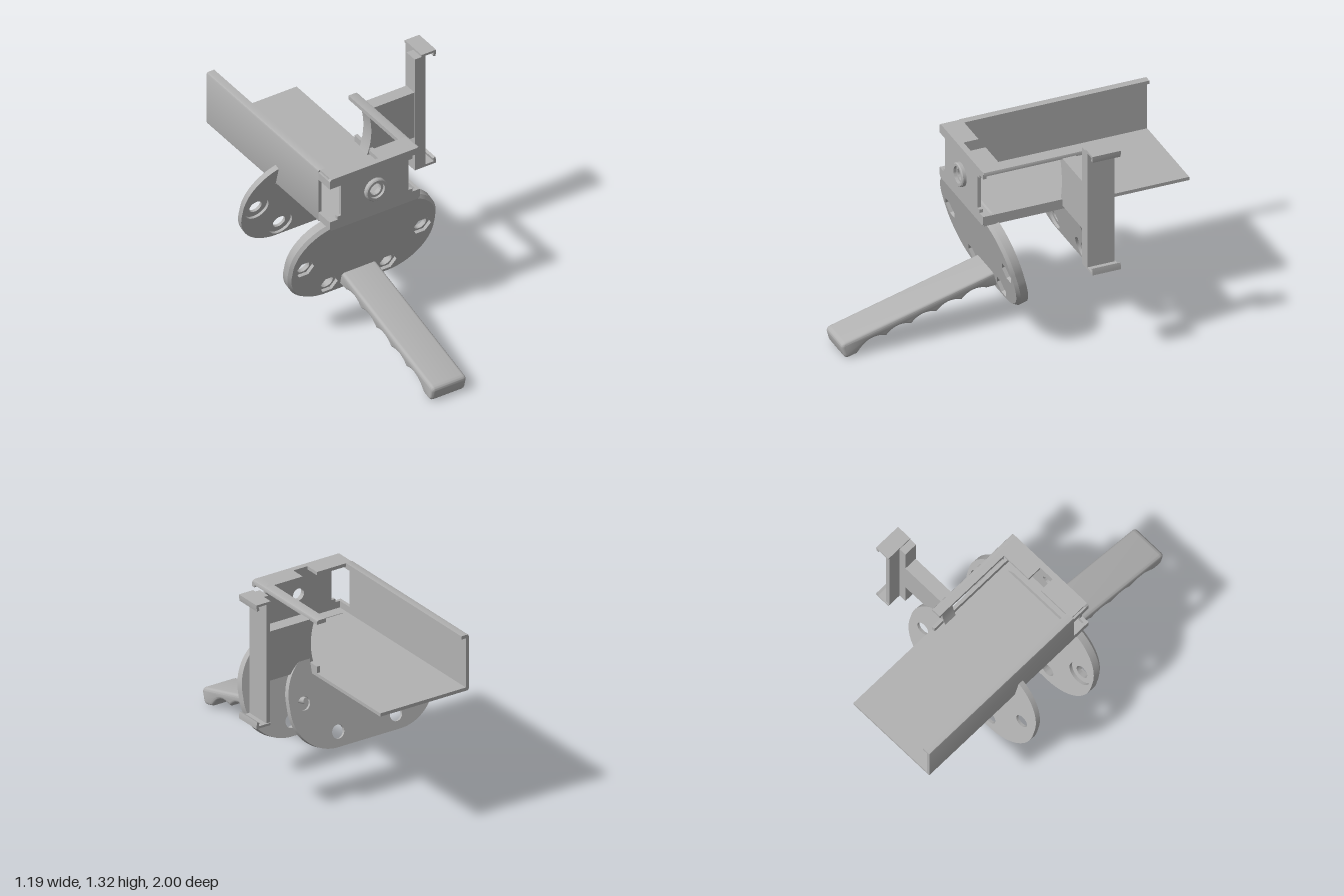
import * as THREE from 'three';
import { toCreasedNormals } from 'three/addons/utils/BufferGeometryUtils.js';

const TILT = Math.PI / 12;
const CX = -0.1225;            // middle of the two plates

export function createModel() {
  const model = new THREE.Group();
  const grey = new THREE.MeshStandardMaterial({ color: 0xb2b2b2 });
  grey.name = 'plain grey';

  const add = (parent, name, geo, x = 0, y = 0, z = 0) => {
    const m = new THREE.Mesh(geo, grey);
    m.name = name;
    m.position.set(x, y, z);
    parent.add(m);
    return m;
  };
  // box given by its limits
  const box = (name, x0, x1, y0, y1, z0, z1) => add(model, name,
    new THREE.BoxGeometry(x1 - x0, y1 - y0, z1 - z0), (x0 + x1) / 2, (y0 + y1) / 2, (z0 + z1) / 2);
  const poly = pts => new THREE.Shape(pts.map(p => new THREE.Vector2(p[0], p[1])));
  const extrude = (shape, depth, opts = {}) => toCreasedNormals(
    new THREE.ExtrudeGeometry(shape, { depth, bevelEnabled: false, curveSegments: 20, ...opts }), 0.5);
  // round or hexagonal hole
  const hole = (x, y, r, sides = 32) => {
    const pts = [];
    for (let i = 0; i < sides; i++) {
      const a = -i / sides * Math.PI * 2;
      pts.push(new THREE.Vector2(x + r * Math.cos(a), y + r * Math.sin(a)));
    }
    return new THREE.Path(pts);
  };

  // ---- tray: floor, tall wall with a lip, and front corner channels
  const B = 0.77, T = 1.11, L = -0.41, R = 0.18, t = 0.02, c = 0.012;
  const channel = poly([
    [R, B], [R, B + t], [L + t, B + t], [L + t, T - t], [L + 0.05, T - t], [L + 0.05, T],
    [L + c, T], [L + 0.003, T - 0.003], [L, T - c], [L, B + c], [L + 0.003, B + 0.003], [L + c, B],
  ].reverse());
  add(model, 'trayFloorAndWall', extrude(channel, 1.12), 0, 0, -1);
  box('frontFloor', L + c, R, B, B + t, 0.12, 0.23);
  box('leftLowerStrip', L, L + t, B + c, 0.83, 0.12, 0.23);
  box('leftUpperStrip', L, L + t, 1.05, T - c, 0.12, 0.23);
  box('rightLowerStrip', R - t, R, B, 0.83, -0.39, 0.23);
  const rail = poly([[0.12, 1.085], [R, 1.085], [R, T - c], [R - 0.003, T - 0.003], [R - c, T], [0.12, T]]);
  add(model, 'rightTopRail', extrude(rail, 0.62), 0, 0, -0.39);

  // front lip with a central notch
  box('frontLipLeft', L + c, -0.165, T - t, T, 0.11, 0.228);
  box('frontLipRight', -0.07, R - c, T - t, T, 0.11, 0.228);
  box('frontLipMiddle', -0.165, -0.07, T - t, T, 0.2, 0.228);

  // front wall with open corners and a round hole
  const wall = poly([
    [L + c, B], [R - c, B], [R, B + c], [R, 0.83], [0.13, 0.83], [0.13, 0.85], [0.105, 0.85],
    [0.105, 1.05], [0.13, 1.05], [0.13, 1.07], [R, 1.07], [R, T - c], [R - c, T],
    [L + c, T], [L, T - c], [L, 1.05], [-0.335, 1.05], [-0.335, 0.85], [-0.36, 0.85],
    [-0.36, 0.83], [L, 0.83], [L, B + c],
  ]);
  wall.holes.push(hole(-0.115, 0.945, 0.037));
  add(model, 'frontWall', extrude(wall, t), 0, 0, 0.215);
  const ringProfile = [[0.036, -0.02], [0.036, 0.008], [0.05, 0.008], [0.05, 0.025], [0.064, 0.025],
    [0.07, 0.019], [0.07, -0.01]].map(p => new THREE.Vector2(...p)).reverse();
  const collarGeo = new THREE.LatheGeometry(ringProfile.reverse(), 40);
  const collar = add(model, 'frontCollar', toCreasedNormals(collarGeo, 0.5), -0.115, 0.945, 0.235);
  collar.rotation.x = Math.PI / 2;
  collar.material = grey.clone();
  collar.material.side = THREE.DoubleSide;

  // ---- side arm with a concave inner end
  const arm = new THREE.Shape();
  arm.moveTo(0.145, 0.79);
  arm.lineTo(0.46, 0.79);
  arm.lineTo(0.46, 1.09);
  arm.lineTo(0.145, 1.09);
  arm.quadraticCurveTo(0.2, 0.94, 0.145, 0.79);
  add(model, 'sideArm', extrude(arm, 0.08), 0, 0, -0.32);

  // clip holder on the end of the arm
  box('holderRib', 0.455, 0.505, 0.57, 1.312, -0.32, -0.237);
  box('holderPlate', 0.5, 0.525, 0.57, 1.325, -0.4, -0.237);
  const hook = poly([[0.5, -0.006], [0.595, -0.006], [0.595, 0.006], [0.59, 0.034], [0.575, 0.028],
    [0.58, 0.008], [0.5, 0.008]]);
  add(model, 'lowerHook', extrude(hook, 0.17), 0, 0.576, -0.407);
  const upper = add(model, 'upperHook', extrude(hook, 0.17), 0, 1.319, -0.237);
  upper.rotation.x = Math.PI;

  // ---- tilted mounting plates
  const HW = 0.4775, HH = 0.295, CR = 0.27;
  const HOLES = [[-0.3825, 0, true], [0.3825, 0, true], [-0.1925, -0.21, false], [0.1925, -0.21, false]];
  const plateShape = (holeOf, notched) => {
    const s = new THREE.Shape(), x = HW - CR, y = HH - CR, P = Math.PI;
    s.absarc(-x, -y, CR, P, 1.5 * P);
    s.absarc(x, -y, CR, 1.5 * P, 2 * P);
    if (notched) {           // cut away where the tray passes through
      s.absarc(x, y, CR, 0, 1.211);
      s.lineTo(0.3025, 0.16);
      s.lineTo(-0.2875, 0.16);
      s.absarc(-x, y, CR, 1.872, P);
    } else {
      s.absarc(x, y, CR, 0, P / 2);
      s.absarc(-x, y, CR, P / 2, P);
    }
    s.closePath();
    HOLES.forEach(h => s.holes.push(holeOf(...h)));
    return s;
  };
  const plateGroup = (name, y, z) => {
    const g = new THREE.Group();
    g.name = name;
    g.position.set(CX, y, z);
    g.rotation.x = TILT;
    model.add(g);
    return g;
  };

  // front plate: back recesses, bolt holes, hexagonal pockets
  const front = plateGroup('frontPlate', 0.5, 0.1);
  add(front, 'plateBack', extrude(plateShape((x, y, up) => hole(x, y, up ? 0.075 : 0.04)), 0.02), 0, 0, -0.0325);
  add(front, 'plateCore', extrude(plateShape((x, y) => hole(x, y, 0.04)), 0.025), 0, 0, -0.0125);
  let face = new THREE.ExtrudeGeometry(plateShape((x, y) => hole(x, y, 0.06, 6)),
    { depth: 0.02, bevelEnabled: false, curveSegments: 20 });
  const p = face.attributes.position;
  for (let i = 0; i < p.count; i++) {     // draw in the front rim, leaving the pockets
    const x = p.getX(i), y = p.getY(i);
    if (p.getZ(i) > 0.01 && !HOLES.some(h => Math.hypot(x - h[0], y - h[1]) < 0.065)) {
      p.setXY(i, x * 0.97, y * 0.95);
    }
  }
  face.computeVertexNormals();
  add(front, 'plateFace', toCreasedNormals(face, 0.5), 0, 0, 0.0125);

  // locating pins
  for (const s of [-1, 1]) {
    add(front, 'locatingPin', new THREE.CylinderGeometry(0.02, 0.02, 0.08, 20), 0.12 * s, -0.106, -0.06)
      .rotation.x = Math.PI / 2;
  }

  // handle with finger grooves, drawn as (length, height)
  const grip = new THREE.Shape();
  grip.moveTo(0.01, -0.16);
  grip.lineTo(0.01, -0.255);
  grip.lineTo(0.09, -0.24);
  const n = 5, step = (0.87 - 0.09) / n;
  for (let i = 0; i < n; i++) {
    const a = 0.09 + i * step;
    grip.quadraticCurveTo(a + step / 2, -0.185, a + step, -0.238);
  }
  grip.lineTo(0.9, -0.26);
  grip.lineTo(0.945, -0.26);
  grip.quadraticCurveTo(0.977, -0.26, 0.977, -0.23);
  grip.lineTo(0.977, -0.19);
  grip.quadraticCurveTo(0.977, -0.16, 0.945, -0.16);
  grip.closePath();
  const gripGeo = extrude(grip, 0.185, {
    curveSegments: 8, bevelEnabled: true, bevelSize: 0.018, bevelOffset: -0.018, bevelThickness: 0.02, bevelSegments: 4,
  });
  gripGeo.translate(0, 0, -0.0925);
  add(front, 'handle', gripGeo).rotation.y = -Math.PI / 2;

  // rear plate with shallow round recesses on its front
  const rear = plateGroup('rearPlate', 0.62, -0.365);
  add(rear, 'plateBack', extrude(plateShape((x, y) => hole(x, y, 0.04), true), 0.017), 0, 0, -0.0165);
  add(rear, 'plateFace', extrude(plateShape((x, y) => hole(x, y, 0.075), true), 0.016), 0, 0, 0.0005);

  return model;
}
